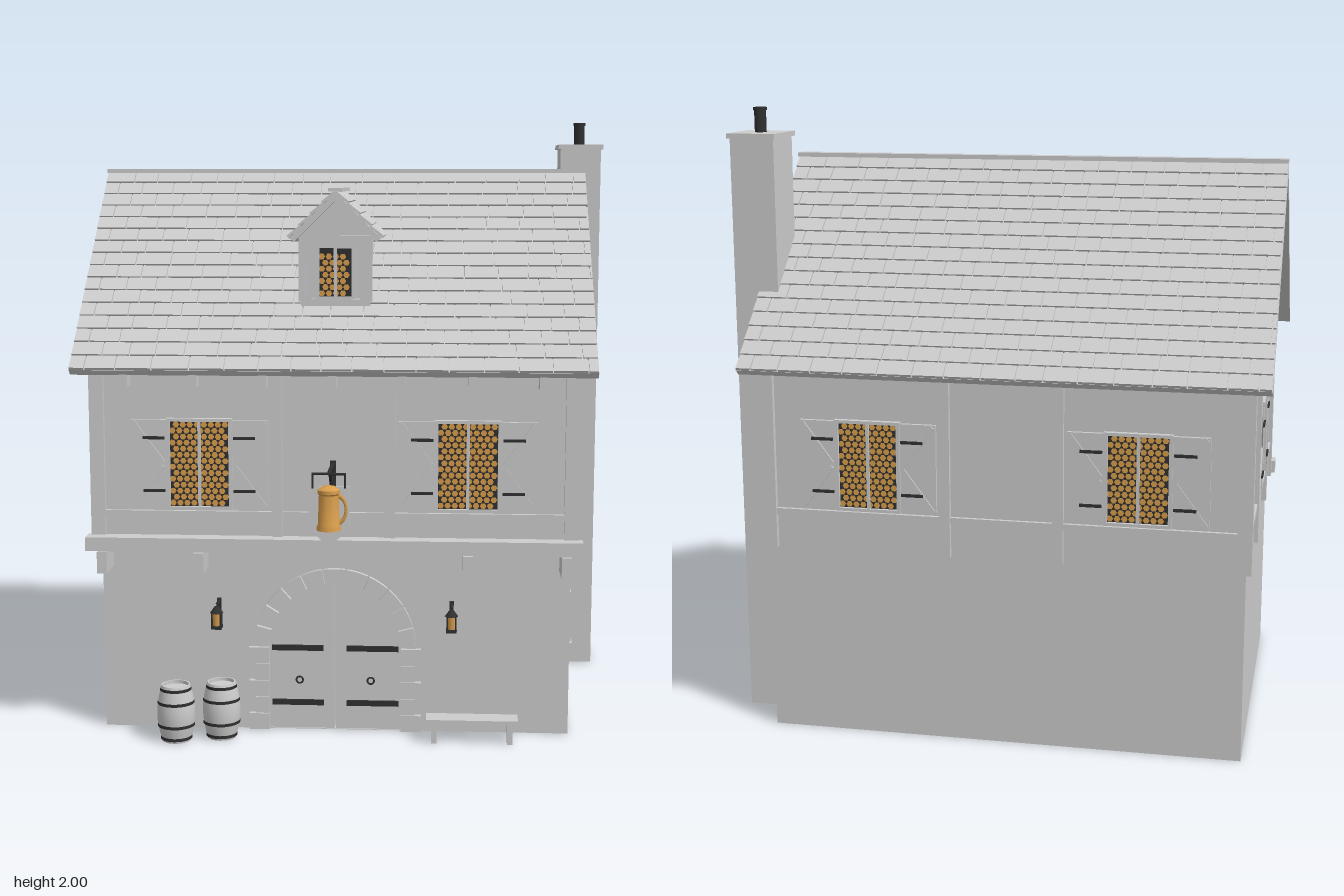
import * as THREE from 'three';
import { mergeGeometries, toCreasedNormals } from 'three/addons/utils/BufferGeometryUtils.js';

const mat = (name, color) => Object.assign(new THREE.MeshStandardMaterial({ color }), { name });
const stone = mat('pale grey', 0xcccccc);
const iron = mat('dark iron', 0x303030);
const amber = mat('amber', 0xd99e4c);

const HALF = 0.7625, FRONT = 0.515, LOWER = 0.45, BACK = -0.673, RIDGE = -0.08; // main planes

function add(parent, name, geo, m, x = 0, y = 0, z = 0) {
  const mesh = new THREE.Mesh(geo, m);
  mesh.name = name;
  mesh.position.set(x, y, z);
  parent.add(mesh);
  return mesh;
}
const box = (p, name, m, w, h, d, x, y, z) => add(p, name, new THREE.BoxGeometry(w, h, d), m, x, y, z);
function group(parent, name, x = 0, y = 0, z = 0, ry = 0) {
  const g = new THREE.Group();
  g.name = name;
  g.position.set(x, y, z);
  g.rotation.y = ry;
  parent.add(g);
  return g;
}
const poly = pts => new THREE.Shape(pts.map(p => new THREE.Vector2(p[0], p[1])));
const extrude = (shape, depth) => new THREE.ExtrudeGeometry(shape, { depth, bevelEnabled: false, curveSegments: 16 });
// Profile drawn in (z, y), extruded along x and centred
const extrudeX = (pts, depth) => extrude(poly(pts), depth).rotateY(-Math.PI / 2).translate(depth / 2, 0, 0);
const lathe = (pts, seg = 20) => toCreasedNormals(
  new THREE.LatheGeometry(pts.map(p => new THREE.Vector2(p[0], p[1])), seg), 0.6);
function rod(parent, name, a, b, r) {
  const curve = new THREE.LineCurve3(new THREE.Vector3(...a), new THREE.Vector3(...b));
  return add(parent, name, new THREE.TubeGeometry(curve, 1, r, 6), iron);
}
let seed = 7;
const rand = () => (seed = (seed * 16807) % 2147483647) / 2147483647;

// Staggered shingles running down +z from the origin, spread over width on x
function shingles(parent, width, length, rows, size, tilt) {
  const parts = [], step = length / rows;
  for (let i = 0; i < rows; i++) {
    let x = -width / 2;
    let w = i % 2 ? size / 2 : size;
    while (x < width / 2 - 0.005) {
      const end = Math.min(x + w, width / 2);
      parts.push(new THREE.BoxGeometry(end - x - 0.004, 0.009, step * 1.02).rotateX(-0.1)
        .translate((x + end) / 2, 0.004, (i + 0.5) * step));
      x = end;
      w = size * (0.8 + 0.4 * rand());
    }
  }
  add(parent, 'shingles', mergeGeometries(parts), stone).rotation.x = tilt;
}

// Leaded window facing +z, centred on its origin
function leadedWindow(parent, name, w, h, x, y, z, ry, shutters) {
  const g = group(parent, name, x, y, z, ry);
  box(g, 'glass', amber, w - 0.01, h - 0.01, 0.066, 0, 0, -0.03);
  box(g, 'leading', iron, w, h, 0.005, 0, 0, 0.004);
  const dots = [], dx = 0.0225, dy = 0.0195;
  for (let r = 0; r * dy < h - 0.03; r++) {
    for (let c = 0; (c + (r % 2) / 2) * dx < w - 0.028; c++) {
      dots.push(new THREE.CircleGeometry(0.0105, 6).translate(
        -w / 2 + 0.014 + (c + (r % 2) / 2) * dx, -h / 2 + 0.016 + r * dy, 0.0075));
    }
  }
  add(g, 'panes', mergeGeometries(dots), amber);
  for (const s of [-1, 1]) {
    box(g, 'frameSide', stone, 0.012, h, 0.018, s * w / 2, 0, 0.009);
    box(g, 'frameRail', stone, w + 0.012, 0.01, 0.018, 0, s * h / 2, 0.009);
  }
  box(g, 'mullion', stone, 0.01, h, 0.014, 0, 0, 0.007);
  if (!shutters) {
    box(g, 'sill', stone, w + 0.04, 0.012, 0.026, 0, -h / 2 - 0.008, 0.01);
    return;
  }
  for (const s of [-1, 1]) {
    const sw = 0.115, sx = s * (w / 2 + 0.006 + sw / 2);
    box(g, 'shutter', stone, sw, h, 0.012, sx, 0, 0.006);
    for (const t of [-1, 1]) {
      const brace = box(g, 'shutterBrace', stone, 0.012, Math.hypot(sw, h / 2) - 0.02, 0.006, sx, t * h / 4, 0.014);
      brace.rotation.z = -s * t * Math.atan2(sw - 0.01, h / 2);
      box(g, 'hinge', iron, 0.07, 0.009, 0.006, s * (w / 2 + 0.045), t * h * 0.3, 0.02);
    }
  }
}

function barrel(parent, x, z) {
  const g = group(parent, 'barrel', x, 0, z);
  add(g, 'staves', lathe([[0, 0], [0.046, 0], [0.056, 0.04], [0.061, 0.075], [0.061, 0.11], [0.056, 0.145],
    [0.046, 0.185], [0.041, 0.185], [0.041, 0.174], [0, 0.174]]), stone);
  for (const [y, r] of [[0.012, 0.051], [0.055, 0.0605], [0.13, 0.0605], [0.173, 0.051]])
    add(g, 'hoop', new THREE.CylinderGeometry(r, r, 0.01, 20, 1, true), iron, 0, y, 0);
}

function wallLantern(parent, x) {
  const g = group(parent, 'wallLantern', x, 0, LOWER);
  box(g, 'backPlate', iron, 0.014, 0.07, 0.008, 0, 0.405, 0.004);
  rod(g, 'arm', [0, 0.432, 0], [0, 0.432, 0.065], 0.005);
  rod(g, 'strut', [0, 0.375, 0], [0, 0.43, 0.04], 0.004);
  add(g, 'cap', new THREE.CylinderGeometry(0.006, 0.022, 0.022, 8), iron, 0, 0.418, 0.065);
  add(g, 'glass', new THREE.CylinderGeometry(0.015, 0.012, 0.045, 8), amber, 0, 0.385, 0.065);
  box(g, 'base', iron, 0.034, 0.01, 0.034, 0, 0.36, 0.065);
  for (const i of [-1, 1]) for (const j of [-1, 1])
    box(g, 'bar', iron, 0.005, 0.05, 0.005, i * 0.014, 0.385, 0.065 + j * 0.014);
}

function hangingSign(parent) {
  const g = group(parent, 'hangingSign', 0, 0, 0);
  box(g, 'wallPlate', iron, 0.018, 0.13, 0.012, 0, 0.85, FRONT + 0.022);
  rod(g, 'arm', [0, 0.905, FRONT], [0, 0.905, 0.72], 0.006);
  rod(g, 'brace', [0, 0.785, FRONT + 0.02], [0, 0.905, 0.67], 0.005);
  add(g, 'scroll', new THREE.TorusGeometry(0.025, 0.004, 6, 20), iron, 0, 0.875, 0.605).rotation.y = Math.PI / 2;
  rod(g, 'crossbar', [-0.053, 0.905, 0.715], [0.053, 0.905, 0.715], 0.004);
  for (const s of [-1, 1]) rod(g, 'hanger', [s * 0.05, 0.86, 0.715], [s * 0.05, 0.905, 0.715], 0.003);
  add(g, 'board', extrude(poly([[-0.063, 0.865], [-0.063, 0.735], [0, 0.675], [0.063, 0.735], [0.063, 0.865]]), 0.006),
    stone, 0, 0, 0.71);
  add(g, 'tankard', lathe([[0, 0], [0.038, 0], [0.038, 0.01], [0.034, 0.018], [0.031, 0.11], [0.035, 0.115],
    [0.035, 0.126], [0.02, 0.136], [0, 0.138]]), amber, 0, 0.73, 0.713);
  add(g, 'handle', new THREE.TorusGeometry(0.03, 0.007, 8, 16), amber, 0.028, 0.795, 0.713).scale.set(0.85, 1.4, 1);
}

function doorway(parent) {
  const g = group(parent, 'doorway');
  for (const s of [-1, 1]) {
    const leaf = new THREE.Shape();
    leaf.moveTo(0.0025, 0);
    leaf.lineTo(0.222, 0);
    leaf.lineTo(0.222, 0.28);
    leaf.absarc(0, 0.28, 0.222, 0, Math.PI / 2 - 0.01, false);
    leaf.closePath();
    add(g, 'doorLeaf', extrude(leaf, 0.02), stone, 0, 0, s > 0 ? 0.425 : 0.445).rotation.y = s > 0 ? 0 : Math.PI;
    for (const y of [0.09, 0.275]) box(g, 'strap', iron, 0.17, 0.018, 0.008, s * 0.123, y, 0.448);
    add(g, 'ringHandle', new THREE.TorusGeometry(0.011, 0.003, 6, 14), iron, s * 0.117, 0.167, 0.45);
    for (let i = 0; i < 5; i++) { // alternating jamb blocks
      const w = i % 2 ? 0.045 : 0.066;
      box(g, 'jambStone', stone, w, 0.054, 0.04, s * (0.216 + w / 2), 0.028 + i * 0.056, 0.447);
    }
  }
  for (let i = 0; i < 11; i++) {
    const a = i * Math.PI / 11 + 0.012, b = (i + 1) * Math.PI / 11 - 0.012, r = 0.265;
    const v = new THREE.Shape();
    v.absarc(0, 0, r, a, b, false);
    v.absarc(0, 0, 0.216, b, a, true);
    add(g, 'archStone', extrude(v, 0.04), stone, 0, 0.28, 0.427);
  }
}

function walls(house) {
  const gable = [[LOWER, 0], [LOWER, 0.61], [FRONT, 0.61], [FRONT, 1.235], [RIDGE, 1.785], [BACK, 1.235], [BACK, 0]];
  for (const s of [-1, 1]) add(house, 'gableWall', extrudeX(gable, 0.03), stone, s * (HALF - 0.015), 0, 0);
  box(house, 'backWall', stone, HALF * 2, 1.235, 0.03, 0, 0.6175, BACK + 0.015);
  box(house, 'upperFrontWall', stone, HALF * 2, 0.625, 0.03, 0, 0.9225, FRONT - 0.015);
  box(house, 'overhangSoffit', stone, HALF * 2, 0.015, 0.09, 0, 0.6175, FRONT - 0.05);
  const wall = poly([[-HALF, 0], [HALF, 0], [HALF, 0.61], [-HALF, 0.61]]);
  const hole = new THREE.Path();
  hole.moveTo(0.22, 0.002);
  hole.lineTo(0.22, 0.28);
  hole.absarc(0, 0.28, 0.22, 0, Math.PI, false);
  hole.lineTo(-0.22, 0.002);
  wall.holes.push(hole);
  add(house, 'lowerFrontWall', extrude(wall, 0.03), stone, 0, 0, LOWER - 0.03);
}

function timbers(house) {
  const mid = (FRONT + BACK) / 2, depth = FRONT - BACK;
  for (const s of [-1, 1]) {
    for (const z of [0.509, -0.667]) box(house, 'cornerPost', stone, 0.046, 0.635, 0.046, s * 0.757, 0.9325, z);
    for (const z of [0.17, -0.33]) box(house, 'sidePost', stone, 0.034, 0.635, 0.034, s * HALF, 0.9325, z);
    for (const z of [FRONT, BACK]) box(house, 'post', stone, 0.034, 0.635, 0.034, s * 0.18, 0.9325, z);
    for (const [y, h] of [[0.735, 0.02], [1.23, 0.03]])
      box(house, 'sideRail', stone, 0.024, h, depth, s * HALF, y, mid);
  }
  for (const z of [FRONT, BACK]) for (const [y, h] of [[0.735, 0.02], [1.22, 0.03]])
    box(house, 'rail', stone, HALF * 2, h, 0.024, 0, y, z);
  box(house, 'frontBeam', stone, 1.585, 0.045, 0.055, 0, 0.6425, 0.5475);
  for (const x of [-0.742, -0.43, 0.43, 0.742]) box(house, 'joist', stone, 0.032, 0.07, 0.115, x, 0.58, 0.5075);
  for (let i = -3; i <= 3; i++) box(house, 'rafterEnd', stone, 0.026, 0.05, 0.06, i * 0.22, 1.175, 0.545);
}

function roof(house) {
  const g = group(house, 'roof', 0, 0, RIDGE), W = 1.656;
  add(g, 'roofSlab', extrudeX([[0.672, 1.205], [0, 1.82], [-0.672, 1.205], [-0.652, 1.188], [0, 1.78], [0.652, 1.188]], W), stone);
  for (const ry of [0, Math.PI])
    shingles(group(g, 'roofSlope', 0, 1.82, 0, ry), W, Math.hypot(0.672, 0.615), 16, 0.1, Math.atan2(0.615, 0.672));
  box(g, 'ridgeCap', stone, W, 0.014, 0.048, 0, 1.826, 0);
}

function dormer(house) {
  const g = group(house, 'dormer');
  add(g, 'dormerBody', extrude(poly([[-0.112, 1.36], [0.112, 1.36], [0.112, 1.625], [0, 1.735], [-0.112, 1.625]]), 0.385),
    stone, 0, 0, 0.01);
  add(g, 'dormerRoof', extrude(poly([[-0.148, 1.612], [-0.13, 1.602], [0, 1.73], [0.13, 1.602], [0.148, 1.612], [0, 1.757]]), 0.405),
    stone, 0, 0, 0.015);
  for (const s of [-1, 1]) {
    shingles(group(g, 'dormerSlope', 0, 1.757, 0.2175, s * Math.PI / 2), 0.405, Math.hypot(0.148, 0.145), 4, 0.09, Math.atan2(0.145, 0.148));
    box(g, 'dormerPost', stone, 0.022, 0.2, 0.02, s * 0.107, 1.51, 0.398);
  }
  box(g, 'dormerRidge', stone, 0.046, 0.012, 0.41, 0, 1.765, 0.2125);
  box(g, 'dormerBeam', stone, 0.236, 0.02, 0.022, 0, 1.61, 0.398);
  leadedWindow(g, 'dormerWindow', 0.115, 0.165, 0, 1.503, 0.396, 0, false);
}

export function createModel() {
  const model = new THREE.Group();
  model.name = 'tavern';
  const house = group(model, 'house', -0.043);
  walls(house);
  timbers(house);
  roof(house);
  dormer(house);
  doorway(house);

  // Shuttered windows on every side, one small window low on the right
  const win = (x, z, ry) => leadedWindow(house, 'shutteredWindow', 0.2, 0.285, x, 0.8975, z, ry, true);
  for (const s of [-1, 1]) {
    win(s * 0.428, FRONT, 0);
    win(s * 0.428, BACK, Math.PI);
    win(s * HALF, -0.078, s * Math.PI / 2);
    wallLantern(house, s * 0.38);
  }
  leadedWindow(house, 'lowerWindow', 0.125, 0.165, HALF, 0.342, 0.2, Math.PI / 2, false);
  hangingSign(house);

  // Chimney
  const chimney = group(model, 'chimney', 0.79, 0, -0.443);
  box(chimney, 'stack', stone, 0.144, 1.905, 0.176, 0, 0.9525, 0);
  box(chimney, 'cap', stone, 0.16, 0.016, 0.196, 0, 1.913, 0);
  add(chimney, 'flue', new THREE.CylinderGeometry(0.019, 0.019, 0.08, 14), iron, 0, 1.96, 0);
  add(chimney, 'flueRim', new THREE.CylinderGeometry(0.022, 0.022, 0.01, 14), iron, 0, 1.995, 0);

  // Barrels and bench by the door
  barrel(model, -0.55, 0.575);
  barrel(model, -0.407, 0.538);
  const bench = group(model, 'bench', 0.405, 0, 0.54);
  box(bench, 'seat', stone, 0.295, 0.013, 0.07, 0, 0.0735, 0);
  for (const s of [-1, 1]) box(bench, 'leg', stone, 0.018, 0.067, 0.058, s * 0.122, 0.0335, 0);
  return model;
}
